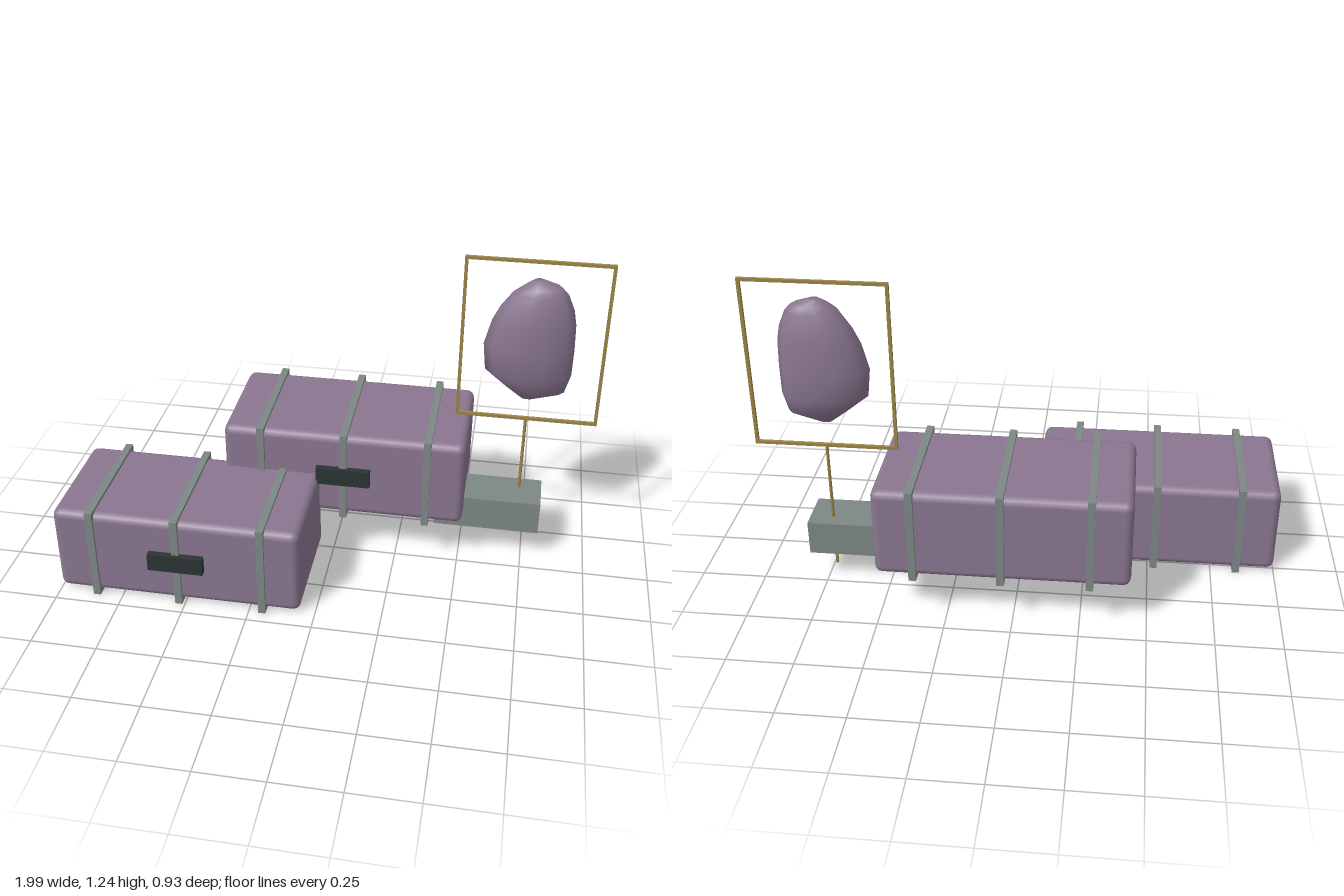
import * as THREE from 'three';
import { RoundedBoxGeometry } from 'three/addons/geometries/RoundedBoxGeometry.js';

const material = (name, color) => {
  const m = new THREE.MeshStandardMaterial({ color });
  m.name = name;
  return m;
};

export function createModel() {
  const purple = material('dusty purple', 0x8a7690);
  const grey = material('grey green', 0x7d8885);
  const dark = material('dark slate', 0x2a3533);
  const brass = material('brass', 0x9c8548);
  const model = new THREE.Group();

  const add = (parent, name, geometry, mat, x, y, z) => {
    const mesh = new THREE.Mesh(geometry, mat);
    mesh.name = name;
    mesh.position.set(x, y, z);
    parent.add(mesh);
    return mesh;
  };

  // Rounded crates, each with three straps and a front latch
  const crate = (name, x, y, z) => {
    const group = new THREE.Group();
    group.name = name;
    group.position.set(x, y, z);
    add(group, 'crateBody', new RoundedBoxGeometry(0.945, 0.354, 0.472, 2, 0.03), purple, 0, 0, 0);
    for (const sx of [-0.323, 0.003, 0.328])
      add(group, 'strap', new THREE.BoxGeometry(0.028, 0.378, 0.497), grey, sx, 0, 0);
    add(group, 'latch', new THREE.BoxGeometry(0.212, 0.071, 0.03), dark, 0.003, 0.005, 0.247);
    model.add(group);
  };
  crate('lowerCrate', -0.527, 0.19, 0.204);
  crate('upperCrate', 0.038, 0.37, -0.213);

  // Stand block and pole
  add(model, 'standBlock', new THREE.BoxGeometry(0.415, 0.137, 0.176), grey, 0.603, 0.193, -0.155);
  add(model, 'pole', new THREE.CylinderGeometry(0.006, 0.006, 0.535, 8), brass, 0.722, 0.3125, -0.185);

  // Square-section hanging frame
  const frame = new THREE.Group();
  frame.name = 'frame';
  frame.position.set(0.722, 0.908, -0.185);
  for (const s of [-1, 1]) {
    add(frame, 'frameSide', new THREE.BoxGeometry(0.012, 0.662, 0.012), brass, s * 0.265, 0, 0);
    add(frame, 'frameRail', new THREE.BoxGeometry(0.542, 0.012, 0.012), brass, 0, s * 0.327, 0);
  }
  model.add(frame);

  // Flattened stone from stacked loops: y, left x, right x, back z, front z
  const loops = [
    [0.675, 0.70, 0.74, -0.18, -0.168],
    [0.715, 0.645, 0.855, -0.21, -0.135],
    [0.79, 0.552, 0.875, -0.25, -0.098],
    [0.90, 0.54, 0.876, -0.255, -0.09],
    [1.00, 0.565, 0.872, -0.25, -0.095],
    [1.06, 0.593, 0.86, -0.243, -0.101],
    [1.12, 0.635, 0.834, -0.226, -0.117],
    [1.145, 0.67, 0.81, -0.215, -0.127],
    [1.167, 0.705, 0.745, -0.195, -0.155],
  ];
  const sides = 10, positions = [], index = [];
  for (const [y, x0, x1, z0, z1] of loops)
    for (let i = 0; i < sides; i++) {
      const a = (i / sides) * Math.PI * 2;
      positions.push((x0 + x1) / 2 + Math.cos(a) * (x1 - x0) / 2, y,
        (z0 + z1) / 2 + Math.sin(a) * (z1 - z0) / 2 / Math.sin(Math.PI * 0.4));
    }
  for (let r = 0; r < loops.length - 1; r++)
    for (let i = 0; i < sides; i++) {
      const a = r * sides + i, b = r * sides + (i + 1) % sides;
      index.push(a, a + sides, b, b, a + sides, b + sides);
    }
  const top = (loops.length - 1) * sides;
  for (let i = 1; i < sides - 1; i++) {
    index.push(0, i, i + 1);
    index.push(top, top + i + 1, top + i);
  }
  const stone = new THREE.BufferGeometry();
  stone.setAttribute('position', new THREE.Float32BufferAttribute(positions, 3));
  stone.setIndex(index);
  stone.computeVertexNormals();
  add(model, 'stone', stone, purple, 0, 0, 0);

  return model;
}
